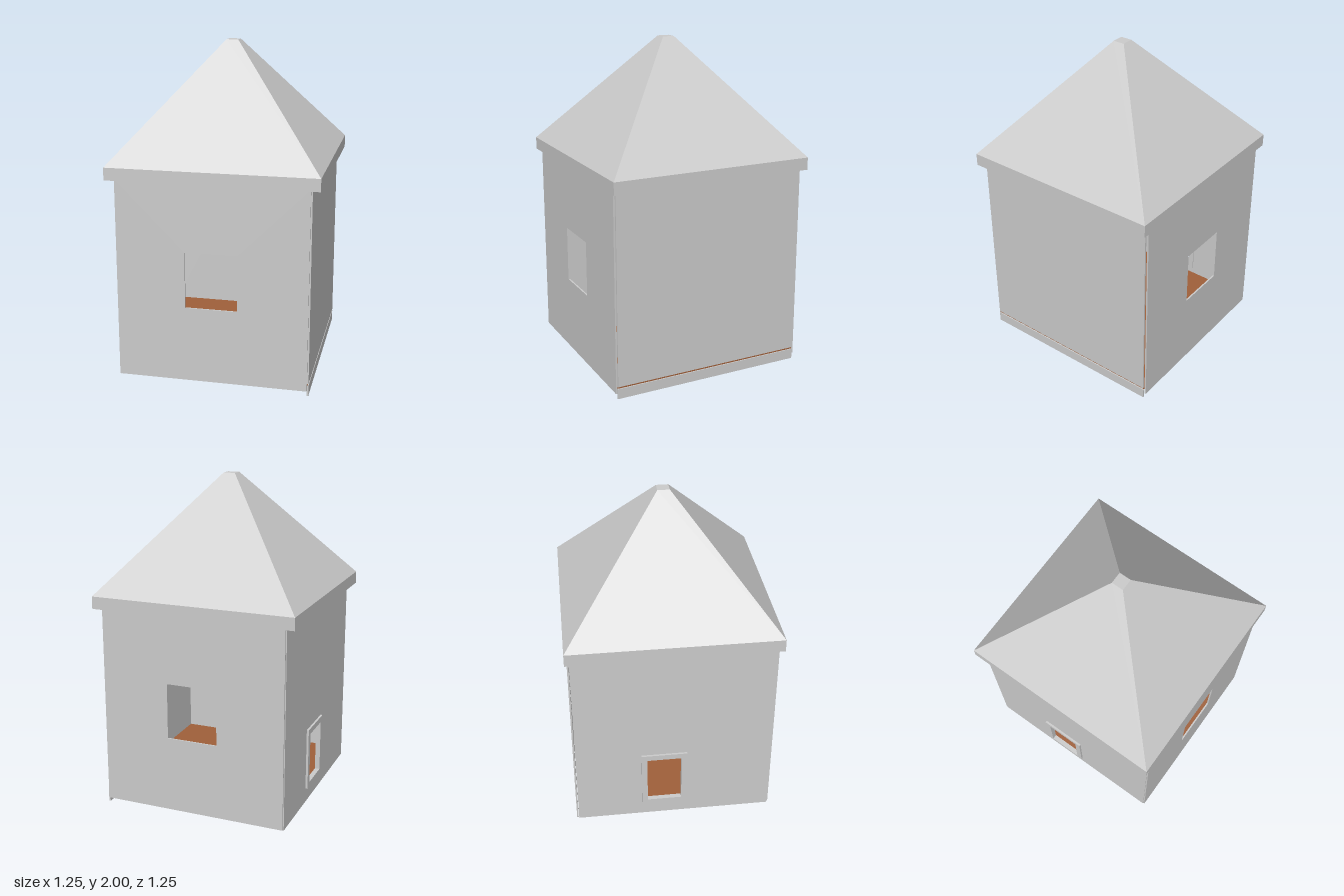
import * as THREE from 'three';

const grey = new THREE.MeshStandardMaterial({ color: 0xcccccc, flatShading: true });
const brown = new THREE.MeshStandardMaterial({ color: 0xa0603a, flatShading: true });

// Upright panel in the XY plane with an optional rectangular opening;
// rectangles are [x0, y0, x1, y1], thickness is centred on z = 0
function panel(name, outer, opening, thickness) {
  const trace = (path, [x0, y0, x1, y1]) => {
    path.moveTo(x0, y0);
    path.lineTo(x1, y0);
    path.lineTo(x1, y1);
    path.lineTo(x0, y1);
    path.closePath();
    return path;
  };
  const shape = trace(new THREE.Shape(), outer);
  if (opening) shape.holes.push(trace(new THREE.Path(), opening));
  const geometry = new THREE.ExtrudeGeometry(shape, { depth: thickness, bevelEnabled: false });
  geometry.translate(0, 0, -thickness / 2);
  const mesh = new THREE.Mesh(geometry, grey);
  mesh.name = name;
  return mesh;
}

export function createModel() {
  const house = new THREE.Group();
  house.name = 'house';
  const wallTop = 1.245;
  const thin = 0.01;

  // Front and back walls, each with a window opening
  const windowOpening = [-0.157, 0.49, 0.155, 0.83];
  for (const [name, z] of [['frontWall', 0.603], ['backWall', -0.608]]) {
    const wall = panel(name, [-0.57, 0.03, 0.57, wallTop], windowOpening, thin);
    wall.position.z = z;
    house.add(wall);
  }

  // Plain left wall, split from its skirting by the floor edge
  const leftSide = new THREE.Group();
  leftSide.name = 'leftSide';
  leftSide.add(
    panel('leftWall', [-0.597, 0.075, 0.597, wallTop], null, thin),
    panel('leftSkirting', [-0.6, 0, 0.6, 0.063], null, thin)
  );
  leftSide.rotation.y = Math.PI / 2;
  leftSide.position.x = 0.574;
  house.add(leftSide);

  // Right wall with a small framed hatch; after the turn, local x is z
  const hatch = [-0.165, 0.145, 0.045, 0.465];
  const rightSide = new THREE.Group();
  rightSide.name = 'rightSide';
  const frame = panel('hatchFrame', [-0.2, 0.115, 0.08, 0.5], hatch, 0.03);
  frame.position.z = 0.003;
  rightSide.add(panel('rightWall', [-0.6, 0.025, 0.6, wallTop], hatch, thin), frame);
  rightSide.rotation.y = -Math.PI / 2;
  rightSide.position.x = -0.569;
  house.add(rightSide);

  // Thin floor board, its edge showing in the slot on the left side
  const floor = new THREE.Mesh(new THREE.BoxGeometry(1.138, 0.012, 1.2), brown);
  floor.name = 'floor';
  floor.position.set(0.003, 0.069, 0);
  house.add(floor);

  // Hollow square roof with an eave band and a small flat top
  const profile = [
    [0, 1.92], [0.53, 1.315], [0.53, 1.24], [0.627, 1.24],
    [0.627, 1.315], [0.036, 2], [0, 2],
  ].map(([half, y]) => new THREE.Vector2(half * Math.SQRT2, y));
  const roofGeometry = new THREE.LatheGeometry(profile, 4, Math.PI / 4).toNonIndexed();
  roofGeometry.computeVertexNormals();
  const roof = new THREE.Mesh(roofGeometry, grey);
  roof.name = 'roof';
  house.add(roof);

  return house;
}
